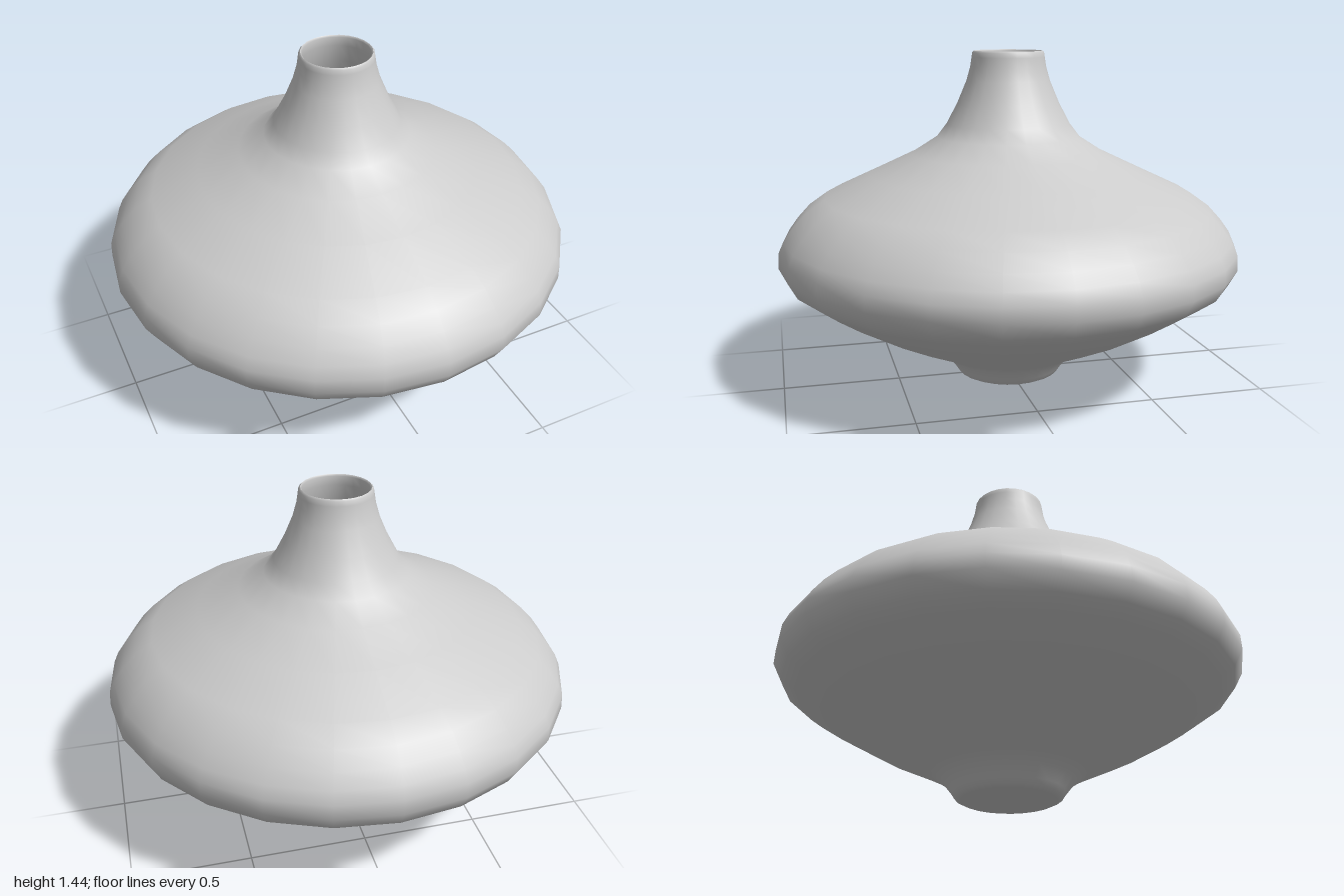
import * as THREE from 'three';

const SIDES = 24;
const toPoints = (list) => list.map(([r, y]) => new THREE.Vector2(r, y));

export function createModel() {
  const group = new THREE.Group();
  group.name = 'vase';
  const material = new THREE.MeshStandardMaterial({ color: 0xcccccc });

  const addLathe = (name, points) => {
    const mesh = new THREE.Mesh(new THREE.LatheGeometry(toPoints(points), SIDES), material);
    mesh.name = name;
    group.add(mesh);
  };

  // Outer silhouette, from the slightly hollowed foot up to the rim
  const outer = [
    [0, 0.02], [0.13, 0.018], [0.17, 0.003], [0.2, 0], [0.225, 0.012], [0.24, 0.035],
    [0.278, 0.083], [0.33, 0.117], [0.417, 0.16], [0.6, 0.245], [0.8, 0.36], [0.9, 0.425],
    [0.963, 0.47], [1, 0.537], [0.997, 0.6], [0.975, 0.65], [0.935, 0.705], [0.88, 0.765],
    [0.8, 0.822], [0.6, 0.915], [0.42, 1], [0.31, 1.07], [0.267, 1.126], [0.22, 1.215],
    [0.18, 1.31], [0.163, 1.37], [0.157, 1.41], [0.154, 1.43], [0.147, 1.437],
  ];
  addLathe('outerBody', outer);

  // Thin lip and hollow interior, from the rim down to the inner floor
  const inner = [
    [0.147, 1.437], [0.14, 1.43], [0.143, 1.39], [0.163, 1.31], [0.204, 1.21], [0.25, 1.12],
    [0.295, 1.055], [0.41, 0.98], [0.59, 0.897], [0.79, 0.803], [0.91, 0.7], [0.973, 0.6],
    [0.977, 0.545], [0.945, 0.485], [0.79, 0.38], [0.59, 0.265], [0.41, 0.18],
    [0.265, 0.103], [0.2, 0.05], [0, 0.04],
  ];
  addLathe('innerWall', inner);

  return group;
}
